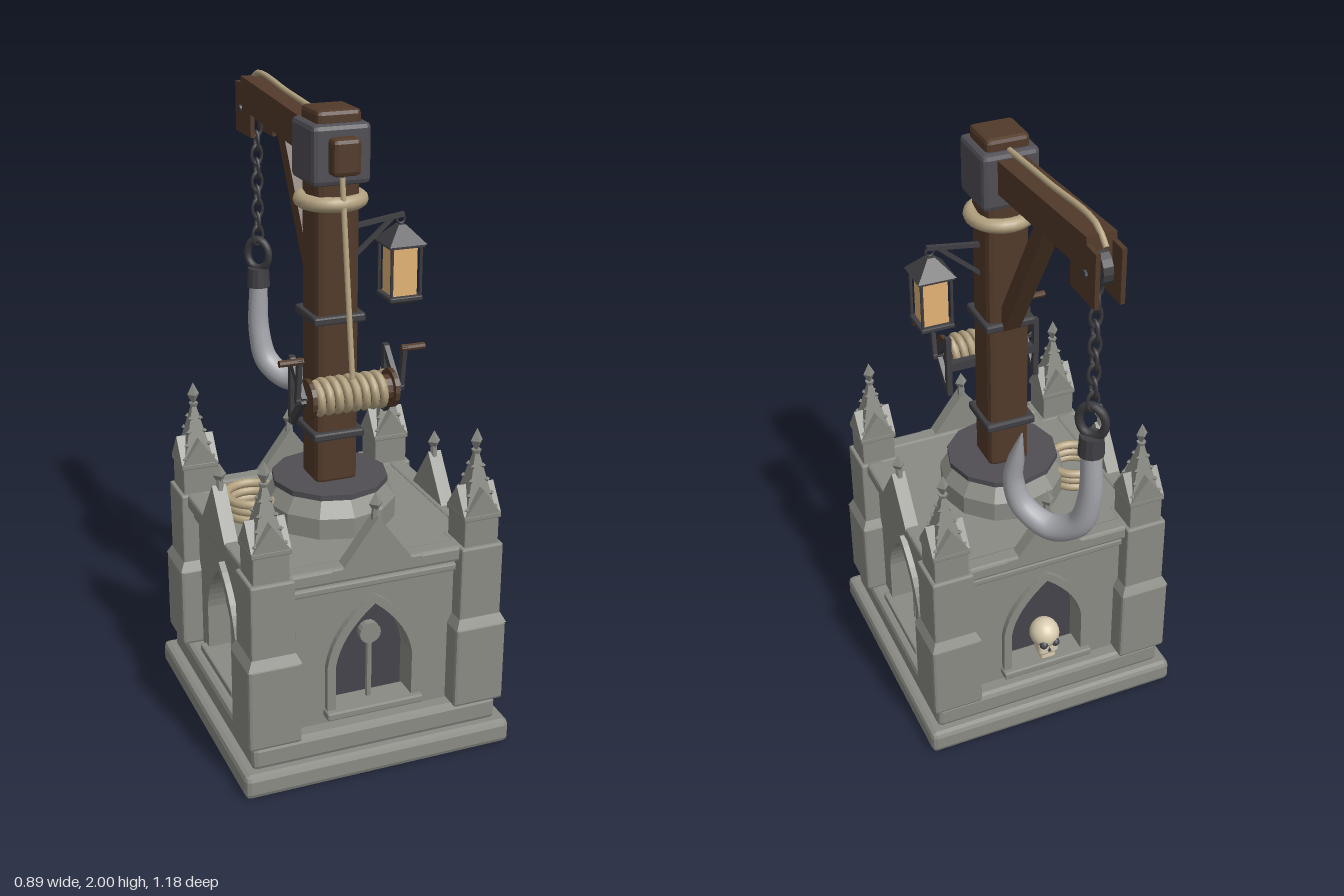
import * as THREE from 'three';
import { RoundedBoxGeometry } from 'three/addons/geometries/RoundedBoxGeometry.js';

const V = (x, y, z) => new THREE.Vector3(x, y, z);
const flat = (color) => new THREE.MeshStandardMaterial({ color, flatShading: true });
const smooth = (color) => new THREE.MeshStandardMaterial({ color });
const stone = flat(0x8a8b84), wood = flat(0x523a2a), iron = flat(0x3f3f43), slate = flat(0x504e54);
const dark = flat(0x45434c), glass = flat(0xe3b375), rope = smooth(0xb3a280), steel = smooth(0xa6a7ad);
const bone = smooth(0xd8ccb0), bar = smooth(0x3a3a3e);

function add(parent, name, geo, mat, x = 0, y = 0, z = 0) {
  const m = new THREE.Mesh(geo, mat);
  m.name = name;
  m.position.set(x, y, z);
  parent.add(m);
  return m;
}
function group(parent, name, x = 0, y = 0, z = 0) {
  const g = new THREE.Group();
  g.name = name;
  g.position.set(x, y, z);
  parent.add(g);
  return g;
}
// box with chamfered edges
const block = (w, h, d, b = 0.01) => new RoundedBoxGeometry(w, h, d, 1, b);
// square frustum given half widths
const frustum = (bottom, top, h) =>
  new THREE.CylinderGeometry(top * Math.SQRT2, bottom * Math.SQRT2, h, 4).rotateY(Math.PI / 4);
// square bar between two points
function beam(parent, name, a, b, w, h, mat) {
  const m = new THREE.Mesh(new THREE.BoxGeometry(w, h, a.distanceTo(b)), mat);
  m.name = name;
  m.position.copy(a).lerp(b, 0.5);
  m.lookAt(b);
  parent.add(m);
}
const tube = (pts, r, n = 8) => new THREE.TubeGeometry(new THREE.CatmullRomCurve3(pts), n, r, 8);
const extrude = (shape, depth) => new THREE.ExtrudeGeometry(shape, { depth, bevelEnabled: false, curveSegments: 8 });

// pointed arch outline
function arch(Type, w, bottom, spring, top) {
  const s = new Type();
  s.moveTo(-w, bottom);
  s.lineTo(w, bottom);
  s.lineTo(w, spring);
  s.quadraticCurveTo(w * 0.88, top - 0.09, 0, top);
  s.quadraticCurveTo(-w * 0.88, top - 0.09, -w, spring);
  s.lineTo(-w, bottom);
  return s;
}
function triangle(w, h) {
  const s = new THREE.Shape();
  s.moveTo(-w, 0);
  s.lineTo(w, 0);
  s.lineTo(0, h);
  s.closePath();
  return s;
}

function buildSkull(parent) {
  const g = group(parent, 'skull', 0, 0.225, 0.355);
  add(g, 'cranium', new THREE.SphereGeometry(0.053, 20, 14).scale(0.95, 1, 1), bone, 0, 0.088, 0);
  add(g, 'cheeks', block(0.072, 0.05, 0.055, 0.012), bone, 0, 0.045, 0.015);
  add(g, 'jaw', block(0.054, 0.03, 0.045, 0.008), bone, 0, 0.014, 0.016);
  for (const s of [-1, 1]) add(g, 'eyeSocket', new THREE.SphereGeometry(0.015, 10, 8), dark, s * 0.021, 0.072, 0.043);
  add(g, 'noseHole', new THREE.ConeGeometry(0.008, 0.018, 4), dark, 0, 0.047, 0.042);
}

// one wall with niche, window and gable, facing +z
function buildSide(parent, i) {
  const g = group(parent, 'wall');
  g.rotation.y = i * Math.PI / 2;
  const wall = new THREE.Shape([[-0.34, 0.15], [0.34, 0.15], [0.34, 0.66], [-0.34, 0.66]].map((p) => new THREE.Vector2(...p)));
  wall.holes.push(arch(THREE.Path, 0.127, 0.2, 0.36, 0.555));
  add(g, 'wallPanel', extrude(wall, 0.07), stone, 0, 0, 0.285);
  add(g, 'nichePanel', new THREE.BoxGeometry(0.3, 0.45, 0.01), dark, 0, 0.39, 0.283);
  const frame = arch(THREE.Shape, 0.155, 0.185, 0.36, 0.585);
  frame.holes.push(arch(THREE.Path, 0.127, 0.2, 0.36, 0.555));
  add(g, 'archFrame', extrude(frame, 0.025), stone, 0, 0, 0.35);
  add(g, 'sill', block(0.32, 0.026, 0.1, 0.005), stone, 0, 0.197, 0.345);
  add(g, 'lowerMoulding', block(0.56, 0.025, 0.04, 0.006), stone, 0, 0.625, 0.35);
  add(g, 'cornice', block(0.56, 0.05, 0.06, 0.01), stone, 0, 0.678, 0.36);
  add(g, 'gableFoot', block(0.3, 0.025, 0.05, 0.006), stone, 0, 0.69, 0.365);
  add(g, 'gable', extrude(triangle(0.125, 0.17), 0.045), stone, 0, 0.68, 0.345);
  add(g, 'finialStem', new THREE.CylinderGeometry(0.01, 0.014, 0.05, 6), stone, 0, 0.855, 0.365);
  add(g, 'finial', new THREE.OctahedronGeometry(0.022).scale(1, 1.7, 1), stone, 0, 0.885, 0.365);
  if (i === 2) return buildSkull(g);
  add(g, 'mullion', new THREE.CylinderGeometry(0.01, 0.01, 0.24, 8), stone, 0, 0.31, 0.33);
  add(g, 'roundel', new THREE.CylinderGeometry(0.035, 0.035, 0.025, 16).rotateX(Math.PI / 2), stone, 0, 0.435, 0.33);
}

function buildCorner(parent, x, z) {
  const g = group(parent, 'cornerPier', x, 0, z);
  add(g, 'lowerPier', block(0.17, 0.28, 0.17), stone, 0, 0.295);
  add(g, 'pierSlope', frustum(0.085, 0.07, 0.03), stone, 0, 0.445);
  add(g, 'upperPier', block(0.14, 0.26, 0.14, 0.006), stone, 0, 0.57);
  add(g, 'pinnacleBase', block(0.115, 0.1, 0.115, 0.004), stone, 0, 0.74);
  add(g, 'pinnacleBand', block(0.125, 0.02, 0.125, 0.004), stone, 0, 0.795);
  add(g, 'spire', frustum(0.053, 0.006, 0.2), stone, 0, 0.89);
  for (let k = 0; k < 4; k++) {
    const q = group(g, 'pinnacleFace');
    q.rotation.y = k * Math.PI / 2;
    add(q, 'gablet', extrude(triangle(0.06, 0.085), 0.055), stone, 0, 0.8, 0.007);
    for (let j = 0; j < 4; j++) {
      const r = 0.048 - j * 0.0105;
      add(q, 'crocket', new THREE.OctahedronGeometry(0.009), stone, r, 0.82 + j * 0.042, r);
    }
  }
  add(g, 'finialCollar', new THREE.CylinderGeometry(0.016, 0.012, 0.012, 6), stone, 0, 0.99);
  add(g, 'finial', new THREE.OctahedronGeometry(0.02).scale(1, 2, 1), stone, 0, 1.025);
}

function buildBase(parent) {
  const g = group(parent, 'base', 0, 0, 0.145);
  add(g, 'plinth', block(0.89, 0.08, 0.89, 0.018), stone, 0, 0.04);
  add(g, 'upperPlinth', block(0.82, 0.085, 0.82, 0.018), stone, 0, 0.115);
  add(g, 'deck', new THREE.BoxGeometry(0.68, 0.06, 0.68), stone, 0, 0.668);
  for (let i = 0; i < 4; i++) buildSide(g, i);
  for (const x of [-0.34, 0.34]) for (const z of [-0.34, 0.34]) buildCorner(g, x, z);
  const pts = [[0.21, 0.69], [0.21, 0.765], [0.17, 0.82], [0, 0.82]].map((p) => new THREE.Vector2(...p));
  add(g, 'drumFooting', new THREE.LatheGeometry(pts, 12), stone);
  add(g, 'drumPlate', new THREE.CylinderGeometry(0.185, 0.185, 0.018, 12), slate, 0, 0.826);
  // coiled rope lying on the deck
  for (let k = 0; k < 3; k++)
    add(g, 'ropeCoil', new THREE.TorusGeometry(0.085 - (k % 2) * 0.004, 0.015, 8, 28).rotateX(Math.PI / 2), rope, -0.235, 0.718 + k * 0.026, -0.065);
}

function buildMast(parent) {
  const g = group(parent, 'mast', 0, 0, 0.145);
  add(g, 'post', block(0.14, 0.98, 0.14, 0.022), wood, 0, 1.31);
  for (const y of [0.99, 1.365]) add(g, 'ironBand', block(0.168, 0.028, 0.168, 0.007), iron, 0, y);
  add(g, 'ropeCollar', new THREE.TorusGeometry(0.09, 0.023, 10, 24).rotateX(Math.PI / 2), rope, 0, 1.72);
  add(g, 'head', block(0.185, 0.18, 0.185, 0.016), slate, 0, 1.865);
  add(g, 'cap', block(0.14, 0.05, 0.14, 0.014), wood, 0, 1.967);
  add(g, 'frontPeg', block(0.09, 0.11, 0.07, 0.014), wood, 0, 1.865, 0.1);
}

function buildBoom(parent) {
  const g = group(parent, 'boom');
  beam(g, 'boomBeam', V(0, 1.88, 0.1), V(0, 1.925, -0.535), 0.09, 0.105, wood);
  beam(g, 'brace', V(0, 1.37, 0.08), V(0, 1.86, -0.215), 0.055, 0.055, wood);
  for (const s of [-1, 1]) add(g, 'pulleyCheek', new THREE.BoxGeometry(0.014, 0.165, 0.15), wood, s * 0.038, 1.872, -0.515);
  add(g, 'pulley', new THREE.CylinderGeometry(0.055, 0.055, 0.03, 16).rotateZ(Math.PI / 2), iron, 0, 1.88, -0.525);
  add(g, 'pulleyPin', new THREE.CylinderGeometry(0.012, 0.012, 0.105, 8).rotateZ(Math.PI / 2), iron, 0, 1.872, -0.535);
  add(g, 'boomRope', tube([V(0, 1.955, 0.07), V(0, 1.973, -0.2), V(0, 1.99, -0.5), V(0, 1.95, -0.56)], 0.009, 16), rope);
  add(g, 'hoistRope', tube([V(0, 1.8, 0.235), V(0, 1.7, 0.25), V(0, 1.21, 0.325)], 0.009, 10), rope);
}

function buildHook(parent) {
  const g = group(parent, 'hookAndChain', 0, 0, -0.512);
  for (let i = 0; i < 9; i++) {
    const link = add(g, 'chainLink', new THREE.TorusGeometry(0.02, 0.006, 6, 14).scale(0.9, 1.5, 1), bar, 0, 1.81 - i * 0.046);
    link.rotation.y = (i % 2) * Math.PI / 2;
  }
  const h = group(g, 'hook');
  h.rotation.y = -0.89;
  add(h, 'eyeRing', new THREE.TorusGeometry(0.042, 0.013, 8, 20).scale(1, 1.2, 1), bar, 0, 1.375);
  add(h, 'hookCollar', new THREE.CylinderGeometry(0.036, 0.04, 0.065, 12), iron, 0, 1.295);
  // tube whose thickness follows a list of radii
  const path = new THREE.CatmullRomCurve3([V(0, 1.28, 0), V(0, 1.1, 0), V(0.032, 0.995, 0), V(0.125, 0.945, 0),
    V(0.222, 0.995, 0), V(0.252, 1.08, 0), V(0.24, 1.17, 0), V(0.222, 1.262, 0)]);
  const radii = [0.031, 0.034, 0.037, 0.041, 0.041, 0.038, 0.033, 0.025, 0.002];
  const n = 48, sides = 14, geo = new THREE.TubeGeometry(path, n, 1, sides);
  const pos = geo.attributes.position, p = V(0, 0, 0);
  for (let i = 0; i <= n; i++) {
    const c = path.getPointAt(i / n), t = (i / n) * (radii.length - 1), k = Math.min(Math.floor(t), radii.length - 2);
    const r = THREE.MathUtils.lerp(radii[k], radii[k + 1], t - k);
    for (let j = 0; j <= sides; j++) {
      const id = i * (sides + 1) + j;
      p.fromBufferAttribute(pos, id).sub(c).multiplyScalar(r).add(c);
      pos.setXYZ(id, p.x, p.y, p.z);
    }
  }
  add(h, 'hookBody', geo, steel);
}

function buildLantern(parent) {
  const g = group(parent, 'lantern', 0, 0, 0.145);
  beam(g, 'bracketArm', V(0.06, 1.625, 0), V(0.24, 1.65, 0), 0.014, 0.014, iron);
  beam(g, 'bracketBrace', V(0.06, 1.52, 0), V(0.2, 1.64, 0), 0.012, 0.012, iron);
  const l = group(g, 'lanternBody', 0.23, 0, 0);
  add(l, 'hanger', new THREE.TorusGeometry(0.013, 0.004, 6, 12), bar, 0, 1.635);
  add(l, 'roof', frustum(0.062, 0.012, 0.055), iron, 0, 1.592);
  add(l, 'eaves', new THREE.BoxGeometry(0.115, 0.012, 0.115), iron, 0, 1.562);
  add(l, 'glass', new THREE.BoxGeometry(0.08, 0.165, 0.08), glass, 0, 1.478);
  add(l, 'floor', block(0.11, 0.016, 0.11, 0.004), iron, 0, 1.395);
  add(l, 'foot', frustum(0.03, 0.048, 0.015), iron, 0, 1.381);
  for (const x of [-1, 1]) for (const z of [-1, 1])
    add(l, 'cornerBar', new THREE.CylinderGeometry(0.005, 0.005, 0.17, 6), iron, x * 0.048, 1.478, z * 0.048);
}

function buildWinch(parent) {
  const g = group(parent, 'winch', 0, 1.16, 0.305);
  const rod = (r, len, sides = 12) => new THREE.CylinderGeometry(r, r, len, sides).rotateZ(Math.PI / 2);
  add(g, 'drum', rod(0.042, 0.27), wood);
  add(g, 'axle', rod(0.012, 0.35), iron);
  add(g, 'supportBar', new THREE.BoxGeometry(0.31, 0.03, 0.025), iron, 0, 0, -0.083);
  const turns = 8, pts = [];
  for (let i = 0; i <= turns * 12; i++) {
    const a = i / 12 * Math.PI * 2;
    pts.push(V(-0.115 + 0.23 * i / (turns * 12), Math.cos(a) * 0.047, Math.sin(a) * 0.047));
  }
  add(g, 'woundRope', tube(pts, 0.013, turns * 18), rope);
  for (const s of [-1, 1]) {
    add(g, 'drumFlange', rod(0.06, 0.014, 16), wood, s * 0.133);
    beam(g, 'upperBracket', V(s * 0.153, 0.1, -0.085), V(s * 0.153, 0, 0.01), 0.016, 0.024, iron);
    beam(g, 'lowerBracket', V(s * 0.153, -0.1, -0.085), V(s * 0.153, 0, 0.01), 0.016, 0.024, iron);
    beam(g, 'bracketPlate', V(s * 0.153, 0.11, -0.085), V(s * 0.153, -0.105, -0.085), 0.018, 0.02, iron);
    beam(g, 'crankArm', V(s * 0.168, -0.01, -0.002), V(s * 0.168, 0.135, 0.02), 0.014, 0.02, iron);
    add(g, 'crankHandle', rod(0.011, 0.075, 8), wood, s * 0.195, 0.128, 0.02);
  }
}

export function createModel() {
  const root = new THREE.Group();
  root.name = 'hookCrane';
  [buildBase, buildMast, buildBoom, buildHook, buildLantern, buildWinch].forEach((build) => build(root));
  return root;
}
